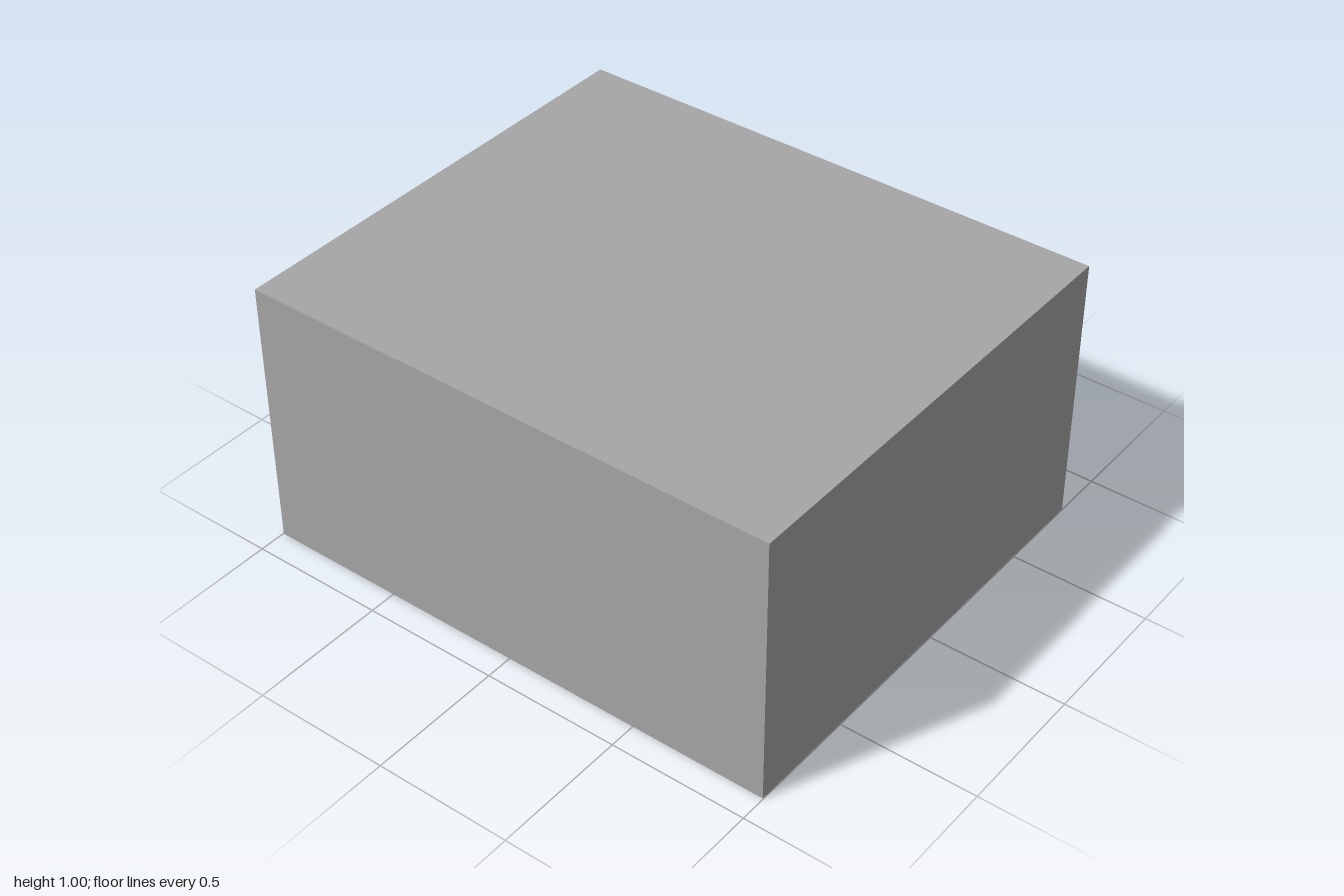
import * as THREE from 'three';

export function createModel() {
  const model = new THREE.Group();
  model.name = 'buildingBlock';

  const grey = new THREE.MeshStandardMaterial({ color: 0xa6a6a6, side: THREE.DoubleSide });
  grey.name = 'grey';
  const lightGrey = new THREE.MeshStandardMaterial({ color: 0xc8c8c8 });
  lightGrey.name = 'lightGrey';

  // Outer shell: thin walls and roof, open underneath
  const x0 = -0.998, x1 = 0.998, z0 = -0.81, z1 = 0.9, H = 1;
  const shell = new THREE.Group();
  shell.name = 'outerShell';
  model.add(shell);
  const panel = (name, w, h, pos, rot) => {
    const mesh = new THREE.Mesh(new THREE.PlaneGeometry(w, h), grey);
    mesh.name = name;
    mesh.position.set(...pos);
    mesh.rotation.set(...rot);
    shell.add(mesh);
  };
  const W = x1 - x0, D = z1 - z0, zc = (z0 + z1) / 2, q = Math.PI / 2;
  panel('frontWall', W, H, [0, H / 2, z1], [0, 0, 0]);
  panel('backWall', W, H, [0, H / 2, z0], [0, 2 * q, 0]);
  panel('leftWall', D, H, [x1, H / 2, zc], [0, q, 0]);
  panel('rightWall', D, H, [x0, H / 2, zc], [0, -q, 0]);
  panel('roof', W, D, [0, H, zc], [-q, 0, 0]);

  // Blocks standing on the ground, given by their extents
  const block = (name, material, xa, xb, za, zb, h) => {
    const mesh = new THREE.Mesh(new THREE.BoxGeometry(xb - xa, h, zb - za), material);
    mesh.name = name;
    mesh.position.set((xa + xb) / 2, h / 2, (za + zb) / 2);
    model.add(mesh);
  };

  // Rooms and the corridors joining them, inside the shell
  block('smallRoom', grey, 0.02, 0.64, -0.807, -0.31, 0.28);
  block('largeRoom', grey, -0.9, 0, -0.807, 0.09, 0.28);
  block('corridor', grey, 0.135, 0.285, -0.31, 0.81, 0.28);
  block('sideCorridor', grey, 0, 0.135, -0.15, -0.03, 0.15);

  // Entrances reaching through the outer walls
  block('backEntrance', lightGrey, 0.16, 0.26, -0.9, -0.81, 0.15);
  block('sideEntrance', lightGrey, -1, -0.9, -0.635, -0.41, 0.15);

  return model;
}
